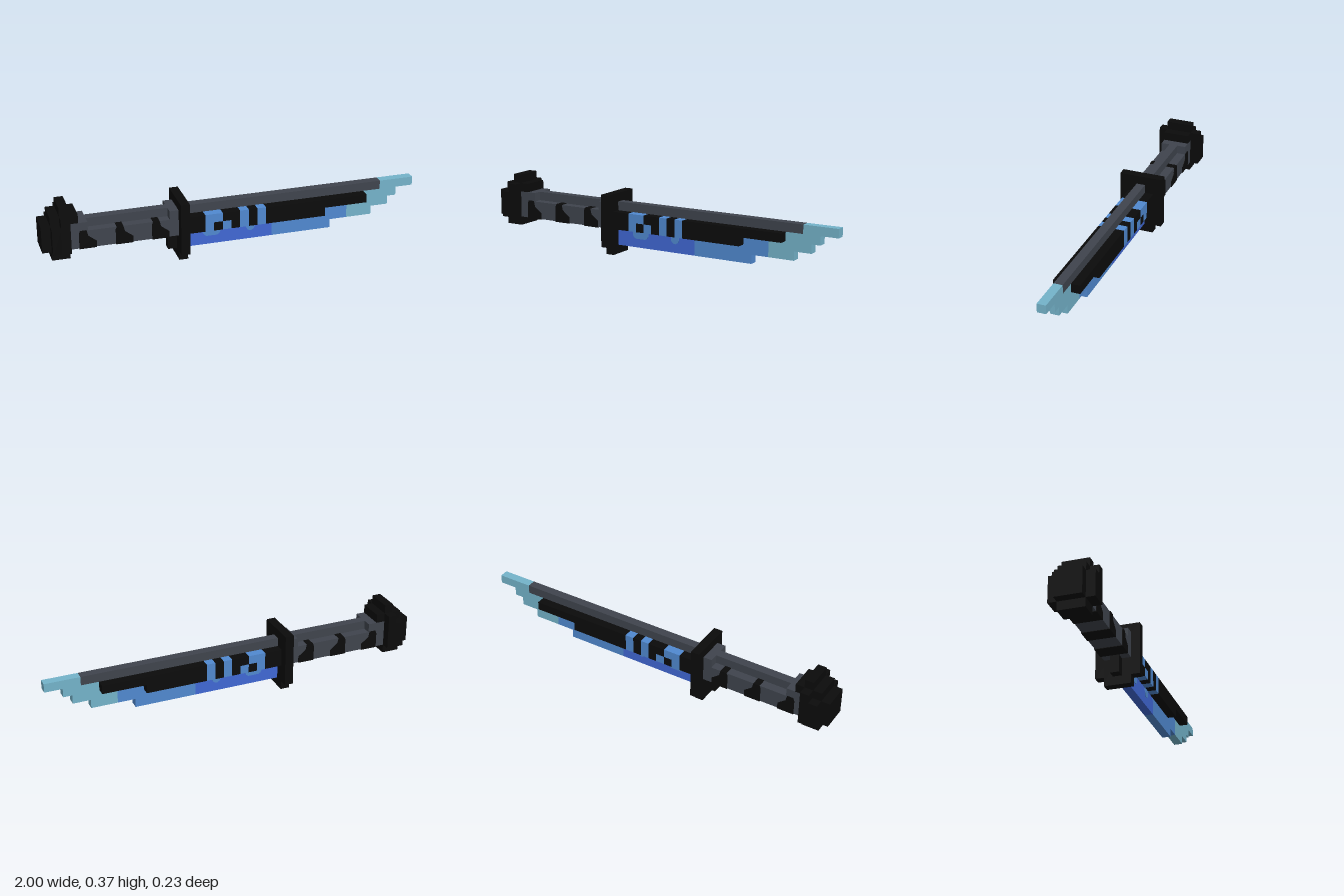
import * as THREE from 'three';

const U = 2 / 43; // one block

const mat = (name, color) => {
  const m = new THREE.MeshStandardMaterial({ color });
  m.name = name;
  return m;
};

export function createModel() {
  const black = mat('black', 0x0b0b0b);
  const grey = mat('slate grey', 0x3f444d);
  const deepBlue = mat('deep blue', 0x4068d4);
  const blue = mat('mid blue', 0x5089d0);
  const cyan = mat('pale cyan', 0x74b3ca);

  const root = new THREE.Group();
  const part = (name) => {
    const g = new THREE.Group();
    g.name = name;
    root.add(g);
    return g;
  };

  // Block spanning x0..x1, y0..y1 and `depth` blocks across z (all in block units)
  const block = (parent, name, material, x0, x1, y0, y1, depth) => {
    const mesh = new THREE.Mesh(new THREE.BoxGeometry((x1 - x0) * U, (y1 - y0) * U, depth * U), material);
    mesh.position.set(((x0 + x1) / 2 - 21.5) * U, ((y0 + y1) / 2) * U, 0);
    mesh.name = name;
    parent.add(mesh);
  };

  // Outline in block units, run through the full depth and standing just proud of it
  const patch = (parent, name, material, points, depth) => {
    const shape = new THREE.Shape(points.map(([x, y]) => new THREE.Vector2((x - 21.5) * U, y * U)));
    const d = depth * U + 0.006;
    const geo = new THREE.ExtrudeGeometry(shape, { depth: d, bevelEnabled: false });
    geo.translate(0, 0, -d / 2);
    const mesh = new THREE.Mesh(geo, material);
    mesh.name = name;
    parent.add(mesh);
  };

  // Pommel
  const pommel = part('pommel');
  block(pommel, 'pommelCap', black, 0, 1, 3, 6, 3);
  block(pommel, 'pommelRearTall', black, 1, 2, 2, 7, 3);
  block(pommel, 'pommelRearWide', black, 1, 2, 3, 6, 5);
  block(pommel, 'pommelFrontTall', black, 2, 3, 2, 8, 3);
  block(pommel, 'pommelFrontWide', black, 2, 3, 3, 7, 5);
  block(pommel, 'pommelLip', black, 3, 4, 6, 7, 3);

  // Handle with a narrow ridge between two full-width collars
  const handle = part('handle');
  block(handle, 'grip', grey, 3, 15, 3, 5, 3);
  block(handle, 'rearCollar', grey, 3, 5, 5, 6, 3);
  block(handle, 'gripRidge', grey, 5, 14, 5, 6, 1);
  block(handle, 'frontCollar', grey, 14, 15, 5, 6, 3);
  const e = 0.06;
  for (const x of [4, 8, 12]) {
    patch(handle, 'gripWrap', black, [
      [x, 3 - e], [x + 1.9, 3 - e], [x + 1.9, 3.7], [x + 1.5, 4], [x + 1, 4.4],
      [x + 0.85, 5 + e], [x + 0.15, 5 + e], [x, 4.7],
    ], 3);
  }

  // Guard
  const guard = part('guard');
  block(guard, 'guardTall', black, 15, 16, 0, 7, 3);
  block(guard, 'guardWide', black, 15, 16, 1, 7, 5);
  block(guard, 'guardHook', black, 14, 15, 1, 3, 1);

  // Blade: spine, stepped edge and tip
  const blade = part('blade');
  block(blade, 'spine', grey, 16, 39, 5, 6, 1);
  block(blade, 'edgeRear', deepBlue, 16, 26, 1, 3, 1);
  block(blade, 'edgeMiddle', blue, 26, 33, 1, 3, 1);
  block(blade, 'edgeStep', blue, 33, 35, 2, 3, 1);
  block(blade, 'edgeUpper', blue, 32, 35, 3, 4, 1);
  for (const [x0, x1, y] of [[35, 38, 2], [35, 40, 3], [37, 41, 4], [39, 43, 5]]) {
    block(blade, 'tipStep', cyan, x0, x1, y, y + 1, 1);
  }

  // Thick side rails, coloured in runs: start, end, material
  const rails = part('rails');
  const upper = [[16, 18, black], [18, 20, blue], [20, 22, black], [22, 23, blue],
    [23, 24, black], [24, 25, blue], [25, 37, black]];
  const lower = [[16, 18, black], [18, 19, blue], [19, 20, black], [20, 21, blue], [21, 22, black],
    [22, 23, blue], [23, 24, black], [24, 25, blue], [25, 32, black]];
  for (const [x0, x1, m] of upper) block(rails, 'upperRail', m, x0, x1, 4, 5, 3);
  for (const [x0, x1, m] of lower) block(rails, 'lowerRail', m, x0, x1, 3, 4, 3);

  // Rounded drips on the blade below the rails
  for (const [x0, x1] of [[18, 20], [23, 24]]) {
    patch(blade, 'drip', blue, [
      [x0, 3], [x0, 2.4], [x0 + 0.15, 2.15], [x0 + 0.4, 2],
      [x1 - 0.4, 2], [x1 - 0.15, 2.15], [x1, 2.4], [x1, 3],
    ], 1);
  }

  return root;
}
